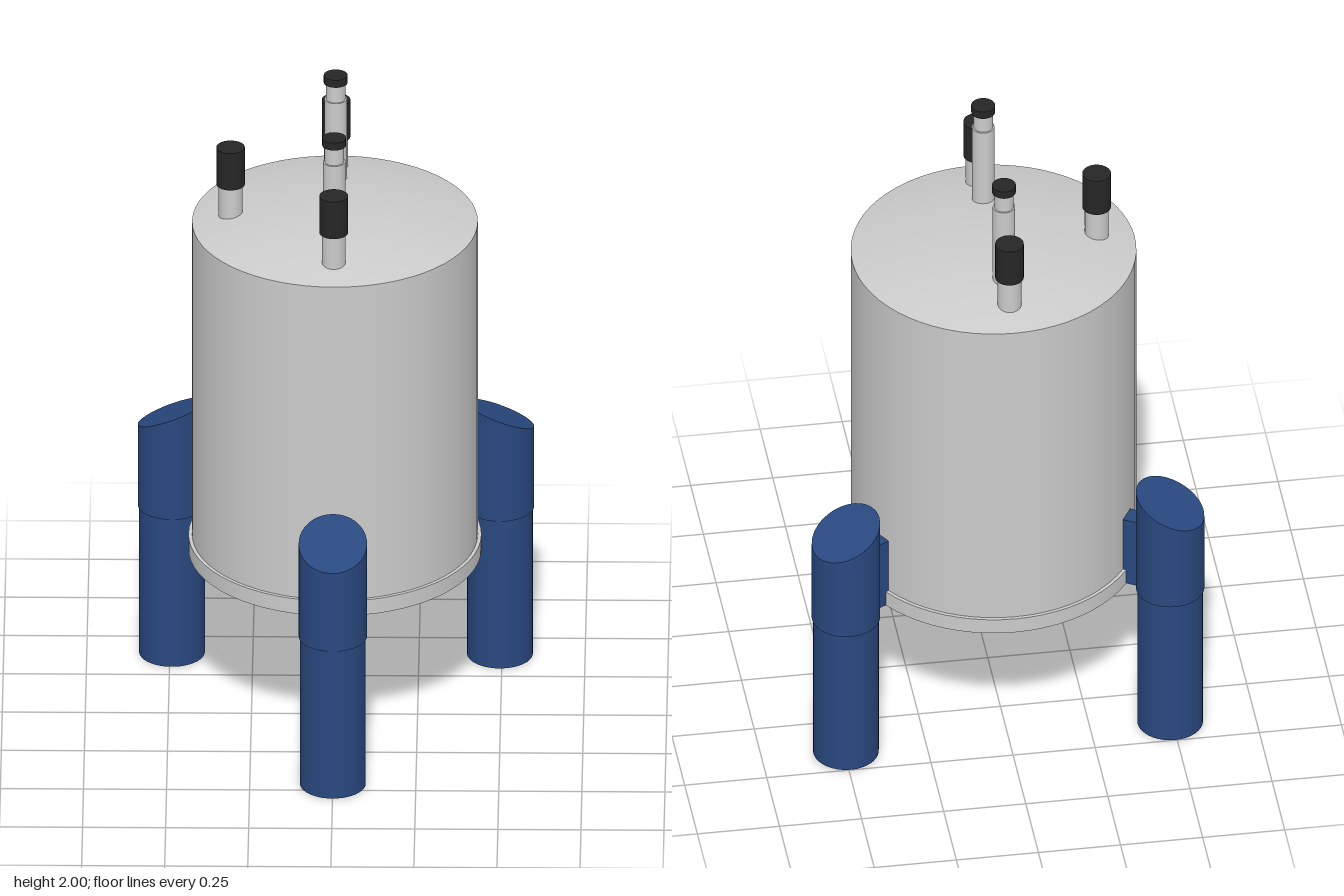
import * as THREE from 'three';

const grey = new THREE.MeshStandardMaterial({ color: 0xcccccc });
const blue = new THREE.MeshStandardMaterial({ color: 0x29487f });
const black = new THREE.MeshStandardMaterial({ color: 0x262626 });

function add(parent, name, geometry, material) {
  const mesh = new THREE.Mesh(geometry, material);
  mesh.name = name;
  parent.add(mesh);
  return mesh;
}

// Upright cylinder running from y0 to y1
function post(parent, name, radius, y0, y1, material, sides = 32) {
  const mesh = add(parent, name, new THREE.CylinderGeometry(radius, radius, y1 - y0, sides), material);
  mesh.position.y = (y0 + y1) / 2;
  return mesh;
}

// Cylinder whose top is cut at a slope, falling towards +z
function slantedCylinder(radius, y0, yInner, yOuter) {
  const geometry = new THREE.CylinderGeometry(radius, radius, 2, 40);
  const p = geometry.attributes.position, n = geometry.attributes.normal;
  const slope = (yOuter - yInner) / (2 * radius);
  const up = new THREE.Vector3(0, 1, -slope).normalize();
  for (let i = 0; i < p.count; i++) {
    const top = p.getY(i) > 0;
    p.setY(i, top ? (yInner + yOuter) / 2 + slope * p.getZ(i) : y0);
    if (top && n.getY(i) > 0.5) n.setXYZ(i, up.x, up.y, up.z);
  }
  return geometry;
}

function makeLeg() {
  const leg = new THREE.Group();
  leg.name = 'leg';
  post(leg, 'lowerLeg', 0.099, 0, 0.5, blue, 40).position.z = 0.57;
  add(leg, 'legSleeve', slantedCylinder(0.103, 0.5, 0.86, 0.765), blue).position.z = 0.57;
  add(leg, 'legBracket', new THREE.BoxGeometry(0.06, 0.235, 0.12), blue).position.set(0, 0.6175, 0.45);
  return leg;
}

// Short port with a long black cap
function makeCappedPort(x, z) {
  const port = new THREE.Group();
  port.name = 'cappedPort';
  post(port, 'portStem', 0.036, 1.58, 1.735, grey);
  post(port, 'portCap', 0.043, 1.735, 1.86, black);
  port.position.set(x, 0, z);
  return port;
}

// Tall pipe with a narrower neck and a thin black stopper
function makeTallPipe(x, z) {
  const pipe = new THREE.Group();
  pipe.name = 'tallPipe';
  post(pipe, 'pipeStem', 0.034, 1.58, 1.92, grey);
  post(pipe, 'pipeNeck', 0.029, 1.92, 1.975, grey);
  post(pipe, 'pipeStopper', 0.036, 1.975, 2, black);
  pipe.position.set(x, 0, z);
  return pipe;
}

export function createModel() {
  const model = new THREE.Group();
  model.name = 'tankOnLegs';
  const tank = new THREE.Group();
  tank.name = 'tank';
  tank.position.z = -0.115;
  model.add(tank);

  // Vessel with base flange
  post(tank, 'tankBody', 0.43, 0.51, 1.61, grey, 64);
  post(tank, 'baseFlange', 0.441, 0.5, 0.55, grey, 64);

  // Shallow spherical lid
  const R = 0.43, rise = 0.055, sphere = (R * R + rise * rise) / (2 * rise);
  const profile = [];
  for (let i = 0; i <= 12; i++) {
    const r = R * (1 - i / 12);
    profile.push(new THREE.Vector2(r, 1.61 + rise - sphere + Math.sqrt(sphere * sphere - r * r)));
  }
  add(tank, 'domedLid', new THREE.LatheGeometry(profile, 64), grey);

  // Three legs around the vessel
  for (let i = 0; i < 3; i++) {
    const leg = makeLeg();
    leg.rotation.y = (i * Math.PI * 2) / 3;
    tank.add(leg);
  }

  // Fittings on the lid
  for (const [x, z] of [[0, 0.314], [0, -0.314], [-0.314, 0]]) tank.add(makeCappedPort(x, z));
  for (const z of [0.205, -0.205]) tank.add(makeTallPipe(0, z));

  return model;
}
